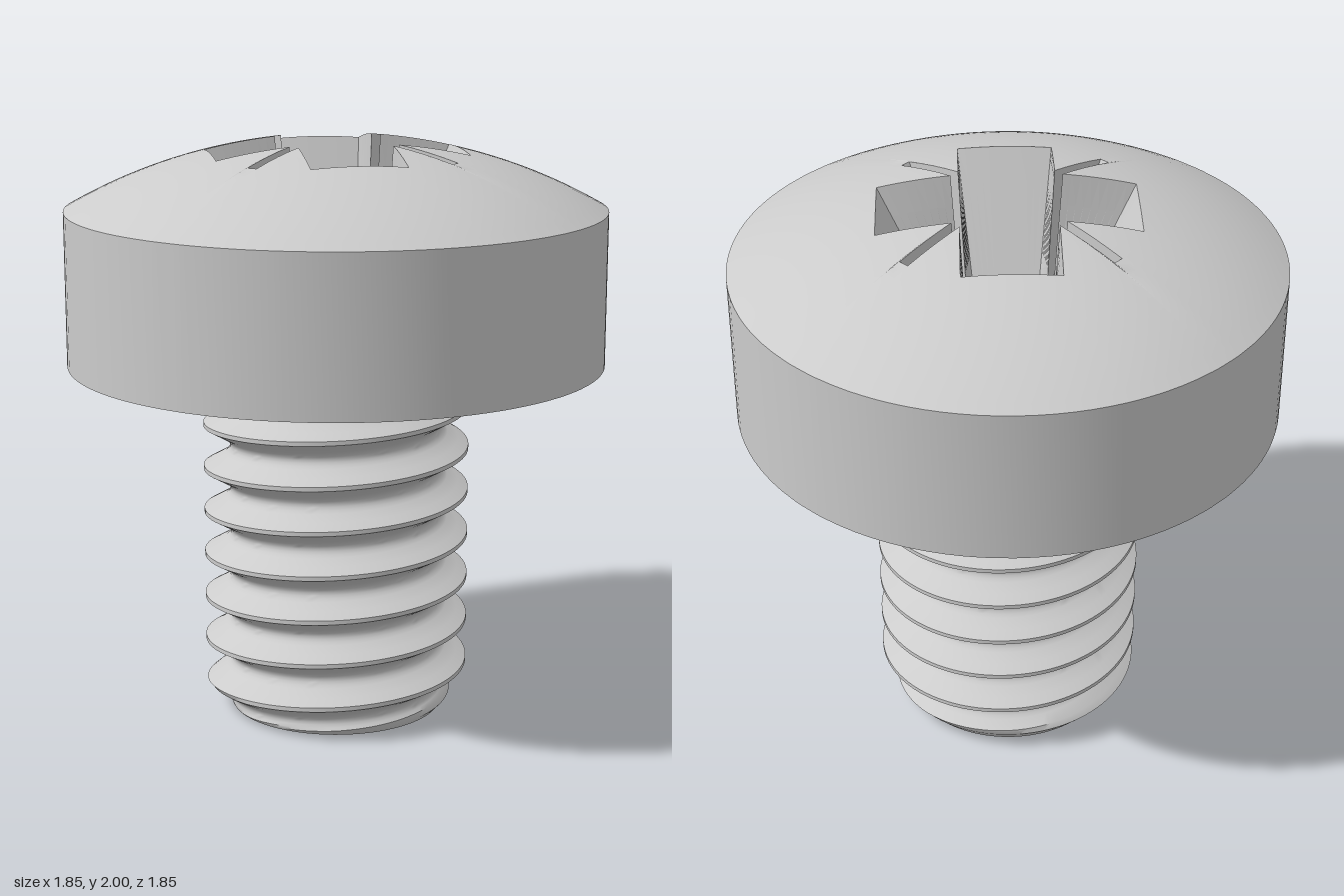
import * as THREE from 'three';
import { toCreasedNormals } from 'three/addons/utils/BufferGeometryUtils.js';

const material = new THREE.MeshStandardMaterial({ color: 0xcccccc });
const lerp = THREE.MathUtils.lerp;
const clamp = THREE.MathUtils.clamp;

// Skin a list of point rows into a surface, dropping collapsed triangles.
function skin(rows, flip, crease) {
  const pos = [];
  const ab = new THREE.Vector3(), ac = new THREE.Vector3();
  const tri = (a, b, c) => {
    ab.subVectors(b, a);
    ac.subVectors(c, a);
    if (ab.cross(ac).length() < 1e-9) return;
    for (const p of flip ? [a, c, b] : [a, b, c]) pos.push(p.x, p.y, p.z);
  };
  for (let i = 0; i + 1 < rows.length; i++) {
    const lo = rows[i], hi = rows[i + 1];
    for (let j = 0; j + 1 < lo.length; j++) {
      tri(lo[j], hi[j], hi[j + 1]);
      tri(lo[j], hi[j + 1], lo[j + 1]);
    }
  }
  const geo = new THREE.BufferGeometry();
  geo.setAttribute('position', new THREE.Float32BufferAttribute(pos, 3));
  geo.computeVertexNormals();
  return crease > 0 ? toCreasedNormals(geo, crease) : geo;
}

function addMesh(group, name, geo) {
  const mesh = new THREE.Mesh(geo, material);
  mesh.name = name;
  group.add(mesh);
}

// Head dimensions
const HEAD_R = 0.925, HEAD_BOTTOM = 1.24, RIM_Y = 1.77, DOME_TOP = 2.014;
const SAG = DOME_TOP - RIM_Y;
const DOME_R = (HEAD_R ** 2 + SAG ** 2) / (2 * SAG);
const domeY = (r) => DOME_TOP - DOME_R + Math.sqrt(DOME_R ** 2 - r * r);

// Closed outline of the cross recess with four diagonal slots.
function crossOutline(armR, armW, innerR, slotR, slotW, yAt) {
  const s = Math.SQRT1_2;
  const diag = (r, o) => [(r - o) * s, (r + o) * s];
  const corners = [
    [armR, -armW], [armR, armW], diag(innerR, -slotW),
    diag(slotR, -slotW), diag(slotR, slotW), diag(innerR, slotW),
  ];
  const steps = [12, 8, 4, 1, 4, 8];
  const next = [armW, armR];
  const loop = [];
  for (let q = 0; q < 4; q++) {
    const c = Math.round(Math.cos(q * Math.PI / 2)), d = Math.round(Math.sin(q * Math.PI / 2));
    corners.forEach((a, i) => {
      const b = corners[i + 1] || next;
      for (let k = 0; k < steps[i]; k++) {
        const x = lerp(a[0], b[0], k / steps[i]), z = lerp(a[1], b[1], k / steps[i]);
        loop.push(new THREE.Vector3(x * c - z * d, yAt(Math.hypot(x, z)), x * d + z * c));
      }
    });
  }
  loop.push(loop[0].clone());
  return loop;
}

function buildHead(group) {
  const FLOOR = 1.55;
  const top = crossOutline(0.43, 0.16, 0.244, 0.475, 0.018, domeY);
  const bottom = crossOutline(0.24, 0.115, 0.207, 0.207, 0.014, () => FLOOR);
  const ring = (r, y) => top.map((p) => {
    const l = Math.hypot(p.x, p.z);
    return new THREE.Vector3(p.x / l * r, y, p.z / l * r);
  });

  // underside, side wall and dome in one skin
  const rows = [ring(0.3, HEAD_BOTTOM), ring(HEAD_R, HEAD_BOTTOM), ring(HEAD_R, RIM_Y)];
  const DOME_STEPS = 14;
  for (let i = 1; i <= DOME_STEPS; i++) {
    rows.push(top.map((p) => {
      const l = Math.hypot(p.x, p.z);
      const r = lerp(HEAD_R, l, i / DOME_STEPS);
      return new THREE.Vector3(p.x / l * r, domeY(r), p.z / l * r);
    }));
  }
  addMesh(group, 'head', skin(rows, false, 0.5));

  // recess walls: the middle outline keeps the slot ends steep
  const t = 0.25;
  const middle = crossOutline(lerp(0.43, 0.24, t), lerp(0.16, 0.115, t), lerp(0.244, 0.207, t),
    0.42, 0.017, () => 0);
  middle.forEach((p, i) => { p.y = lerp(top[i].y, FLOOR, t); });
  const floorLoop = bottom.map((p) => {
    const l = Math.hypot(p.x, p.z);
    return new THREE.Vector3(p.x / l * 0.2, FLOOR, p.z / l * 0.2);
  });
  addMesh(group, 'recessWalls', skin([top, middle, bottom, floorLoop], false, 0));

  // conical bottom of the recess
  const tip = floorLoop.map(() => new THREE.Vector3(0, FLOOR - 0.1, 0));
  addMesh(group, 'recessCone', skin([floorLoop, tip], false, 0.4));
}

// Thread dimensions
const PITCH = 0.155, CREST_R = 0.462, ROOT_R = 0.37, CREST_Y = 0.17;

// Shank radius at a height and a distance from the crest line
function shankRadius(y, d) {
  let t = clamp((d - 0.0075) / 0.052, 0, 0.8);
  if (d > 0.049) {
    const s = (d - 0.049) / 0.0285; // rounded root
    t = 0.8 + 0.2 * (2 * s - s * s);
  }
  let r = lerp(CREST_R, ROOT_R, t);
  r = Math.min(r, ROOT_R + 0.9 * y); // end chamfer
  if (y > 1.12) r = Math.max(r, ROOT_R + 0.105 * ((y - 1.12) / 0.12) ** 1.2); // flare under head
  return r;
}

function buildShank(group) {
  const SEGMENTS = 96;
  const offsets = [-0.0075, 0.0075, 0.028, 0.049, 0.0585, 0.068, 0.0775, 0.087, 0.0965, 0.106, 0.127];
  const rows = [];
  for (let turn = -3; turn < 9; turn++) {
    for (const o of offsets) {
      const row = [];
      for (let j = 0; j <= SEGMENTS; j++) {
        const f = j / SEGMENTS, a = f * Math.PI * 2;
        const y = clamp(CREST_Y + PITCH * (turn + f) + o, 0, HEAD_BOTTOM);
        const u = (y - CREST_Y) / PITCH - f;
        const r = shankRadius(y, Math.abs(u - Math.round(u)) * PITCH);
        row.push(new THREE.Vector3(r * Math.cos(a), y, -r * Math.sin(a)));
      }
      rows.push(row);
    }
  }
  addMesh(group, 'threadedShank', skin(rows, true, 0.8));

  // flat end of the shank
  const end = new THREE.CircleGeometry(ROOT_R, SEGMENTS);
  end.rotateX(Math.PI / 2);
  addMesh(group, 'shankEnd', end);
}

export function createModel() {
  const group = new THREE.Group();
  group.name = 'panHeadScrew';
  buildHead(group);
  buildShank(group);
  return group;
}
